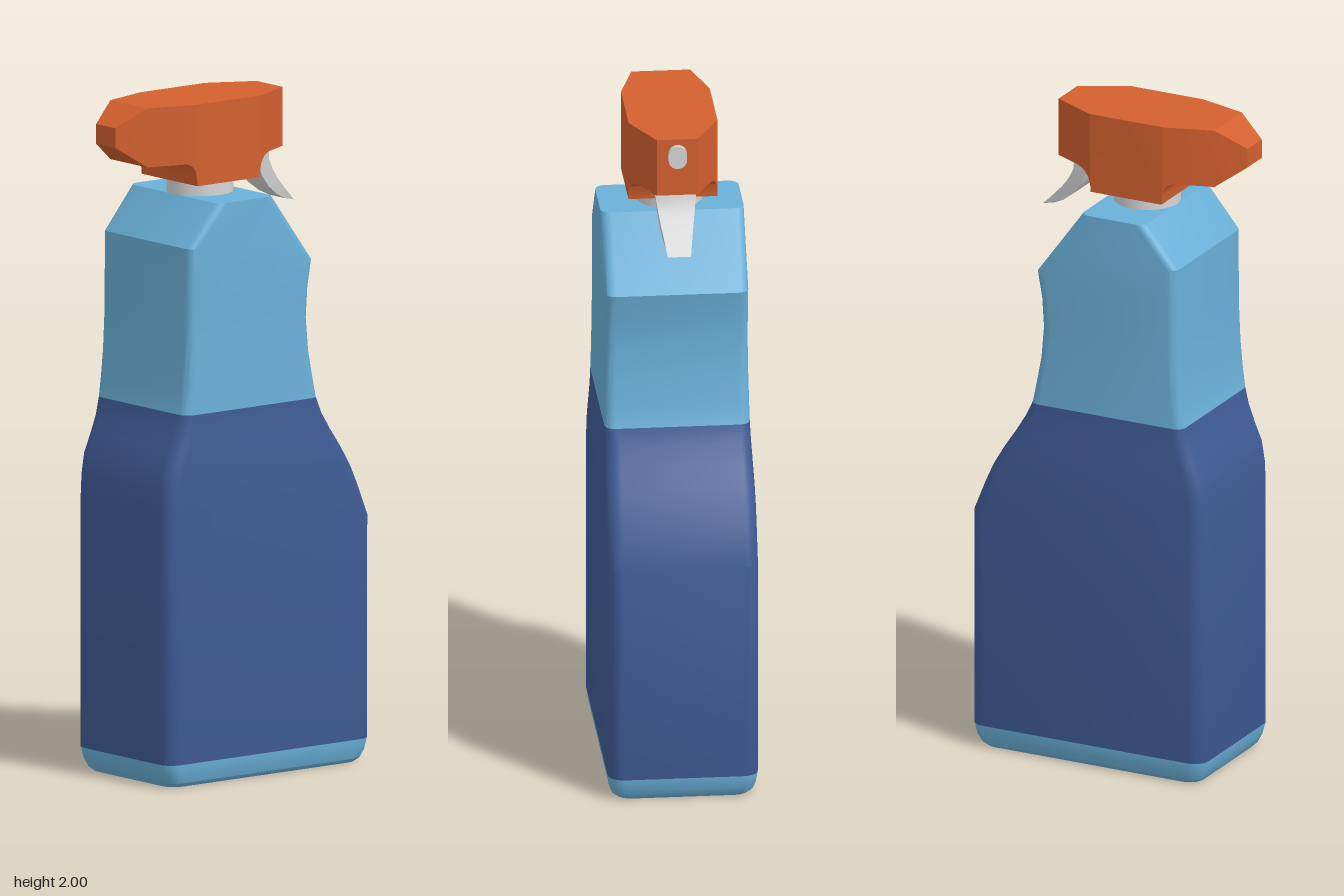
import * as THREE from 'three';
import { toCreasedNormals } from 'three/addons/utils/BufferGeometryUtils.js';

const material = (name, color, extra = {}) => {
  const m = new THREE.MeshStandardMaterial({ color, ...extra });
  m.name = name;
  return m;
};

// Skin between equal-length rings; each ring runs counter-clockwise seen from the far end.
// slots gives the material index of: start cap, every band, end cap.
function loft(rings, slots) {
  const n = rings[0].length;
  const geometry = new THREE.BufferGeometry().setFromPoints(rings.flat());
  const index = [];
  const close = (slot, start) => geometry.addGroup(start, index.length - start, slots ? slots[slot] : 0);
  for (let k = 1; k < n - 1; k++) index.push(0, k + 1, k);
  close(0, 0);
  for (let i = 0; i < rings.length - 1; i++) {
    const start = index.length;
    for (let j = 0; j < n; j++) {
      const a = i * n + j, b = i * n + (j + 1) % n;
      index.push(a, b, b + n, a, b + n, a + n);
    }
    close(i + 1, start);
  }
  const last = (rings.length - 1) * n, start = index.length;
  for (let k = 1; k < n - 1; k++) index.push(last, last + k, last + k + 1);
  close(rings.length, start);
  geometry.setIndex(index);
  if (!slots) geometry.clearGroups();
  return toCreasedNormals(geometry, 0.42);
}

// Horizontal rounded rectangle
function roundedRing(y, left, right, half, radius) {
  const ring = [];
  const steps = 5;
  for (let q = 0; q < 4; q++) {
    const cx = q === 0 || q === 3 ? right - radius : left + radius;
    const cz = q < 2 ? -half + radius : half - radius;
    for (let s = 0; s <= steps; s++) {
      const a = (q + s / steps) * Math.PI / 2;
      ring.push(new THREE.Vector3(cx + radius * Math.cos(a), y, cz - radius * Math.sin(a)));
    }
  }
  return ring;
}

// Four-cornered ring spanning two points of a side profile
const slab = (x0, y0, x1, y1, half) => [
  new THREE.Vector3(x0, y0, half), new THREE.Vector3(x0, y0, -half),
  new THREE.Vector3(x1, y1, -half), new THREE.Vector3(x1, y1, half),
];

export function createModel() {
  const group = new THREE.Group();
  const lightBlue = material('light blue plastic', 0x6ab0d8);
  const darkBlue = material('dark blue label', 0x3f5b95);
  const orange = material('orange plastic', 0xd3602e);
  const lightGrey = material('light grey plastic', 0xd6d6d6);
  const baseGrey = material('grey base', 0x8c8c8c);
  const add = (name, geometry, mat) => {
    const mesh = new THREE.Mesh(geometry, mat);
    mesh.name = name;
    group.add(mesh);
    return mesh;
  };

  // Bottle: height, left edge, right edge, half depth
  const sections = [
    [0, -0.325, 0.38, 0.195], [0.012, -0.337, 0.392, 0.207], [0.035, -0.347, 0.402, 0.215],
    [0.07, -0.355, 0.409, 0.22], [0.73, -0.355, 0.41, 0.22], [0.82, -0.355, 0.374, 0.22],
    [0.88, -0.352, 0.347, 0.22], [0.94, -0.343, 0.312, 0.219], [1.0, -0.319, 0.272, 0.217],
    [1.05, -0.302, 0.242, 0.215], [1.1, -0.285, 0.215, 0.213], [1.16, -0.278, 0.203, 0.212],
    [1.24, -0.271, 0.188, 0.211], [1.34, -0.267, 0.18, 0.21], [1.43, -0.266, 0.186, 0.21],
    [1.51, -0.265, 0.2, 0.21], [1.59, -0.264, 0.141, 0.21], [1.715, -0.16, 0.05, 0.21],
  ];
  const rings = sections.map(([y, l, r, h]) => roundedRing(y, l, r, h, y < 1.1 ? 0.045 : 0.03));
  const slots = [2];
  for (let i = 0; i < sections.length - 1; i++) slots.push(sections[i][0] >= 0.07 && sections[i][0] < 1.1 ? 1 : 0);
  slots.push(0);
  add('bottle', loft(rings, slots), [lightBlue, darkBlue, baseGrey]);

  // Neck
  add('neck', new THREE.CylinderGeometry(0.098, 0.098, 0.07, 32), lightGrey).position.set(-0.063, 1.74, 0);

  // Spray head: x, underside, top, half width
  const head = [
    [-0.415, 1.887, 1.945, 0.045], [-0.328, 1.825, 2, 0.086], [-0.21, 1.825, 2, 0.121],
    [-0.193, 1.818, 2, 0.126], [-0.182, 1.803, 2, 0.129], [-0.178, 1.785, 2, 0.13],
    [-0.176, 1.758, 2, 0.13], [0.056, 1.758, 2, 0.13], [0.058, 1.78, 2, 0.13],
    [0.066, 1.802, 2, 0.127], [0.084, 1.818, 2, 0.118], [0.11, 1.825, 2, 0.105],
    [0.198, 1.825, 2, 0.06],
  ].map(([x, bottom, top, half]) => slab(x, bottom, x, top, half));
  add('sprayHead', loft(head), orange);

  // Nozzle: rounded upright plate on the front of the head
  const outline = new THREE.Shape();
  outline.absarc(0, 0.008, 0.027, 0, Math.PI);
  outline.absarc(0, -0.008, 0.027, Math.PI, Math.PI * 2);
  const nozzle = add('nozzle', new THREE.ExtrudeGeometry(outline, { depth: 0.02, bevelEnabled: false }), lightGrey);
  nozzle.rotation.y = Math.PI / 2;
  nozzle.position.set(0.193, 1.948, 0);

  // Trigger: inner edge, outer edge, half width
  const trigger = [
    [0.1, 1.835, 0.145, 1.835, 0.063], [0.108, 1.785, 0.15, 1.79, 0.058],
    [0.128, 1.742, 0.168, 1.757, 0.053], [0.157, 1.707, 0.19, 1.728, 0.048],
    [0.192, 1.68, 0.218, 1.698, 0.042], [0.226, 1.663, 0.262, 1.655, 0.034],
  ].map((p) => slab(...p));
  add('trigger', loft(trigger), lightGrey);

  return group;
}
